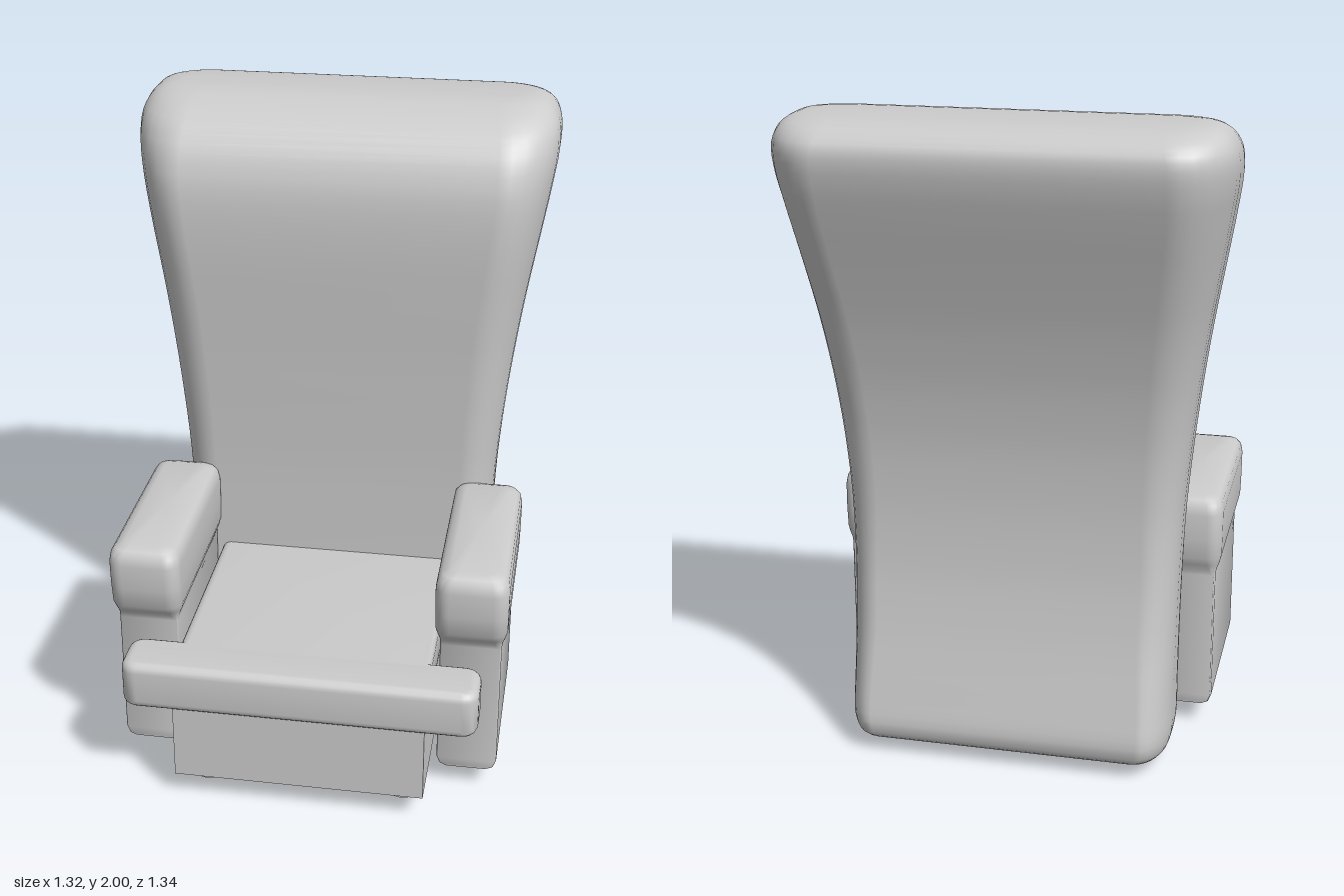
import * as THREE from 'three';
import { toCreasedNormals } from 'three/addons/utils/BufferGeometryUtils.js';

const material = new THREE.MeshStandardMaterial({ color: 0xcccccc });

function addMesh(parent, geometry, name, x = 0, y = 0, z = 0) {
  const mesh = new THREE.Mesh(geometry, material);
  mesh.name = name;
  mesh.position.set(x, y, z);
  parent.add(mesh);
  return mesh;
}

// Rounded-rectangle ring; section = { y, hx, zf, zb, rx, rz }
function ring({ y, hx, zf, zb, rx, rz }, m = 7) {
  const points = [];
  const mid = (zf + zb) / 2, hz = (zf - zb) / 2;
  const signs = [[1, 1], [-1, 1], [-1, -1], [1, -1]];
  signs.forEach(([sx, sz], q) => {
    for (let k = 0; k <= m; k++) {
      const a = (q + k / m) * Math.PI / 2;
      points.push(sx * (hx - rx) + rx * Math.cos(a), y, mid + sz * (hz - rz) + rz * Math.sin(a));
    }
  });
  return points;
}

// Skin stacked rings from bottom to top and close both ends
function loft(sections) {
  const rings = sections.map(s => ring(s));
  const n = rings[0].length / 3, rows = rings.length;
  const positions = rings.flat(), index = [];
  for (let r = 0; r < rows - 1; r++) {
    for (let i = 0; i < n; i++) {
      const a = r * n + i, b = r * n + (i + 1) % n;
      index.push(a, a + n, b, b, a + n, b + n);
    }
  }
  const first = sections[0], last = sections[rows - 1], top = (rows - 1) * n;
  positions.push(0, first.y, (first.zf + first.zb) / 2, 0, last.y, (last.zf + last.zb) / 2);
  for (let i = 0; i < n; i++) {
    const j = (i + 1) % n;
    index.push(i, j, rows * n, top + i, rows * n + 1, top + j);
  }
  const geometry = new THREE.BufferGeometry();
  geometry.setAttribute('position', new THREE.Float32BufferAttribute(positions, 3));
  geometry.setIndex(index);
  geometry.computeVertexNormals();
  return geometry;
}

// Tall flared backrest: y, half width, front z, back z, corner radius in x
function backrestGeometry() {
  const rows = [
    [0.025, 0.43, -0.19, -0.42, 0.07], [0.033, 0.47, -0.145, -0.475, 0.08],
    [0.06, 0.495, -0.12, -0.518, 0.09], [0.11, 0.505, -0.112, -0.53, 0.09],
    [0.2, 0.505, -0.11, -0.513, 0.09], [0.4, 0.505, -0.11, -0.47, 0.1],
    [0.6, 0.508, -0.11, -0.44, 0.1], [0.8, 0.516, -0.108, -0.43, 0.11],
    [1.0, 0.533, -0.1, -0.438, 0.12], [1.2, 0.556, -0.09, -0.468, 0.13],
    [1.4, 0.585, -0.077, -0.518, 0.14], [1.6, 0.62, -0.067, -0.582, 0.15],
    [1.75, 0.646, -0.074, -0.632, 0.16], [1.85, 0.66, -0.105, -0.66, 0.17],
    [1.92, 0.657, -0.155, -0.664, 0.17], [1.965, 0.635, -0.22, -0.63, 0.16],
    [1.99, 0.6, -0.29, -0.56, 0.14], [2.0, 0.54, -0.36, -0.45, 0.1],
  ];
  const outline = new THREE.CatmullRomCurve3(rows.map(r => new THREE.Vector3(r[1], r[0], 0)));
  const depth = new THREE.CatmullRomCurve3(rows.map(r => new THREE.Vector3(r[2], r[3], r[4])));
  const sections = [];
  const steps = (rows.length - 1) * 3;
  for (let i = 0; i <= steps; i++) {
    const o = outline.getPoint(i / steps), d = depth.getPoint(i / steps);
    sections.push({ y: Math.min(o.y, 2), hx: o.x, zf: d.x, zb: d.y, rx: d.z, rz: (d.x - d.y) * 0.4 });
  }
  return loft(sections);
}

// Armrest: slim side panel below a wider padded top
function armGeometry() {
  const rows = [
    [0.07, 0.068, 0.455, -0.112, 0.01, 0.01], [0.077, 0.085, 0.455, -0.112, 0.01, 0.01],
    [0.1, 0.094, 0.455, -0.112, 0.01, 0.01], [0.52, 0.094, 0.455, -0.112, 0.01, 0.01],
    [0.54, 0.096, 0.462, -0.116, 0.02, 0.02], [0.56, 0.104, 0.478, -0.126, 0.035, 0.035],
    [0.585, 0.11, 0.495, -0.136, 0.045, 0.045], [0.65, 0.111, 0.503, -0.14, 0.045, 0.045],
    [0.73, 0.111, 0.507, -0.139, 0.045, 0.045], [0.76, 0.106, 0.502, -0.134, 0.045, 0.045],
    [0.776, 0.094, 0.488, -0.122, 0.04, 0.04], [0.784, 0.07, 0.46, -0.1, 0.03, 0.03],
  ];
  const sections = rows.map(([y, hx, zf, zb, rx, rz]) => ({ y, hx, zf, zb, rx, rz }));
  return toCreasedNormals(loft(sections), 0.9);
}

// T-shaped cushion whose front wraps around the arms
function cushionGeometry() {
  const b = 0.028;
  const shape = new THREE.Shape();
  const wing = 0.545 - b, neck = 0.39 - b, front = -0.67 + b, step = -0.497 - b, back = 0.13;
  const r = 0.025;
  shape.moveTo(-wing + r, front);
  shape.lineTo(wing - r, front);
  shape.quadraticCurveTo(wing, front, wing, front + r);
  shape.lineTo(wing, step - r);
  shape.quadraticCurveTo(wing, step, wing - r, step);
  shape.lineTo(neck, step);
  shape.lineTo(neck, back);
  shape.lineTo(-neck, back);
  shape.lineTo(-neck, step);
  shape.lineTo(-wing + r, step);
  shape.quadraticCurveTo(-wing, step, -wing, step - r);
  shape.lineTo(-wing, front + r);
  shape.quadraticCurveTo(-wing, front, -wing + r, front);
  const geometry = new THREE.ExtrudeGeometry(shape, {
    depth: 0.155 - 2 * b, bevelThickness: b, bevelSize: b, bevelSegments: 5, curveSegments: 6,
  });
  geometry.rotateX(-Math.PI / 2);
  return toCreasedNormals(geometry, 0.8);
}

// Small turned foot
function footGeometry() {
  const profile = [[0, 0], [0.05, 0], [0.05, 0.008], [0.024, 0.018], [0.024, 0.028],
    [0.045, 0.055], [0.045, 0.09], [0, 0.09]];
  const points = profile.map(([x, y]) => new THREE.Vector2(x, y));
  return toCreasedNormals(new THREE.LatheGeometry(points, 12), 0.6);
}

export function createModel() {
  const model = new THREE.Group();
  model.name = 'armchair';

  addMesh(model, backrestGeometry(), 'backrest');
  addMesh(model, cushionGeometry(), 'seatCushion', 0, 0.33 + 0.028, 0);
  addMesh(model, new THREE.BoxGeometry(0.775, 0.25, 0.77), 'seatBase', 0, 0.21, 0.265);

  const arm = armGeometry(), foot = footGeometry();
  for (const [side, s] of [['left', 1], ['right', -1]]) {
    addMesh(model, arm, side + 'Armrest', s * 0.502);
    addMesh(model, foot, side + 'FrontFoot', s * 0.31, 0, 0.5);
    addMesh(model, foot, side + 'BackFoot', s * 0.31, 0, -0.04);
  }
  return model;
}
